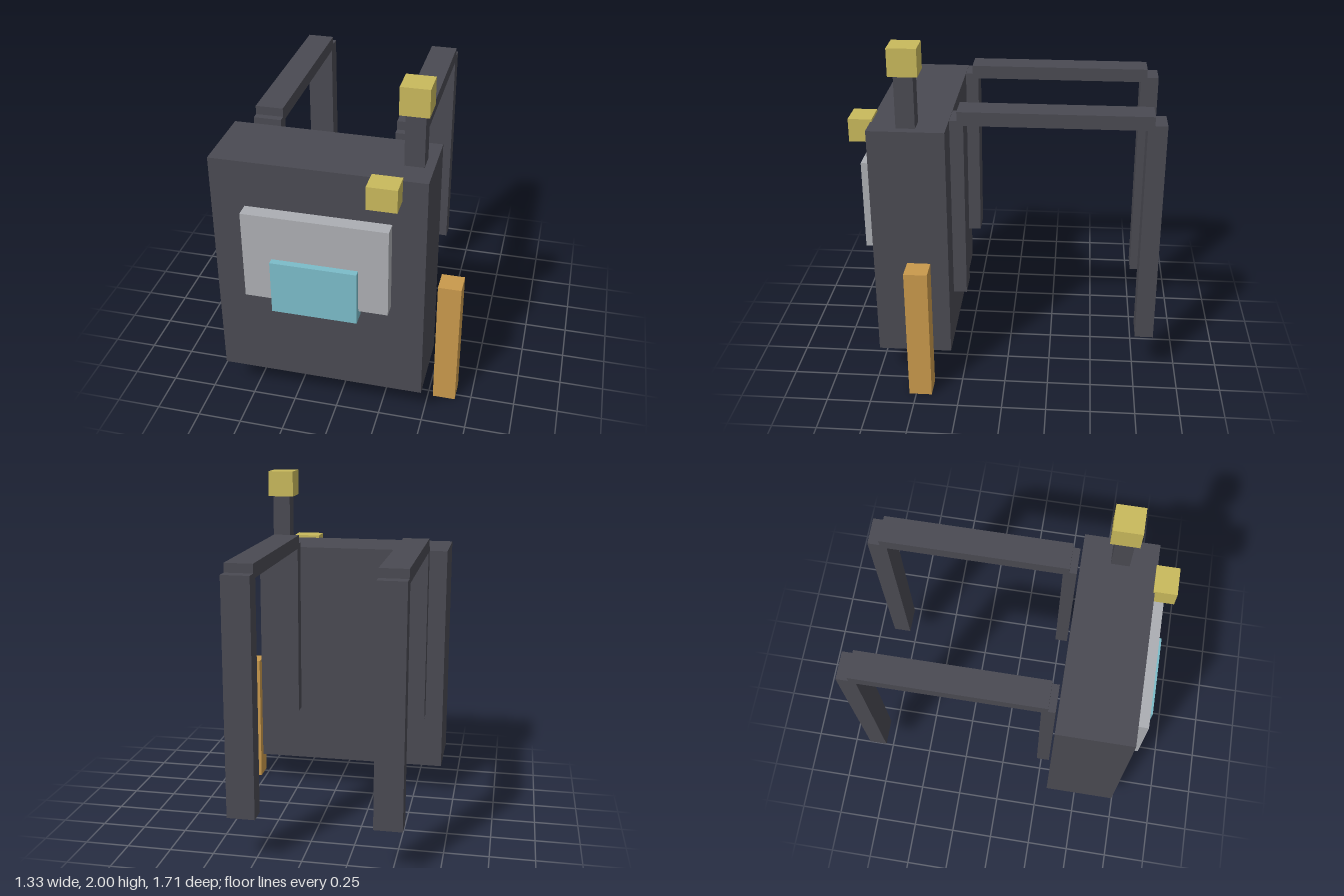
import * as THREE from 'three';

const mat = (name, color) => {
  const m = new THREE.MeshStandardMaterial({ color });
  m.name = name;
  return m;
};

// Box given by its [min, max] range along each axis
function block(name, material, [x0, x1], [y0, y1], [z0, z1]) {
  const mesh = new THREE.Mesh(new THREE.BoxGeometry(x1 - x0, y1 - y0, z1 - z0), material);
  mesh.name = name;
  mesh.position.set((x0 + x1) / 2, (y0 + y1) / 2, (z0 + z1) / 2);
  return mesh;
}

export function createModel() {
  const dark = mat('charcoal', 0x4a4a52);
  const grey = mat('light grey', 0xacaeb3);
  const cyan = mat('pale cyan', 0x7bbcc9);
  const yellow = mat('dull yellow', 0xc9b95c);
  const orange = mat('ochre orange', 0xc9994c);

  const model = new THREE.Group();
  model.name = 'backpack';

  // Pack with layered front panels
  model.add(
    block('packBody', dark, [-0.665, 0.49], [0.19, 1.555], [0.315, 0.735]),
    block('frontPanel', grey, [-0.48, 0.31], [0.77, 1.29], [0.725, 0.815]),
    block('screen', cyan, [-0.32, 0.15], [0.715, 1.03], [0.765, 0.853]),
    block('frontLamp', yellow, [0.2, 0.36], [1.44, 1.57], [0.727, 0.857])
  );

  // Antenna with its tip, and the canister at the side
  model.add(
    block('antennaMast', dark, [0.335, 0.44], [1.5, 1.86], [0.478, 0.582]),
    block('antennaTip', yellow, [0.308, 0.462], [1.847, 2], [0.45, 0.608]),
    block('sideCanister', orange, [0.53, 0.66], [0, 0.79], [0.41, 0.54])
  );

  // Two shoulder straps, each of three straight pieces
  for (const [name, x] of [['rightStrap', [-0.56, -0.405]], ['leftStrap', [0.23, 0.385]]]) {
    const strap = new THREE.Group();
    strap.name = name;
    strap.add(
      block('strapInner', dark, x, [0.53, 1.585], [0.228, 0.303]),
      block('strapTop', dark, x, [1.557, 1.635], [-0.787, 0.263]),
      block('strapOuter', dark, x, [0.27, 1.585], [-0.855, -0.75])
    );
    model.add(strap);
  }
  return model;
}
